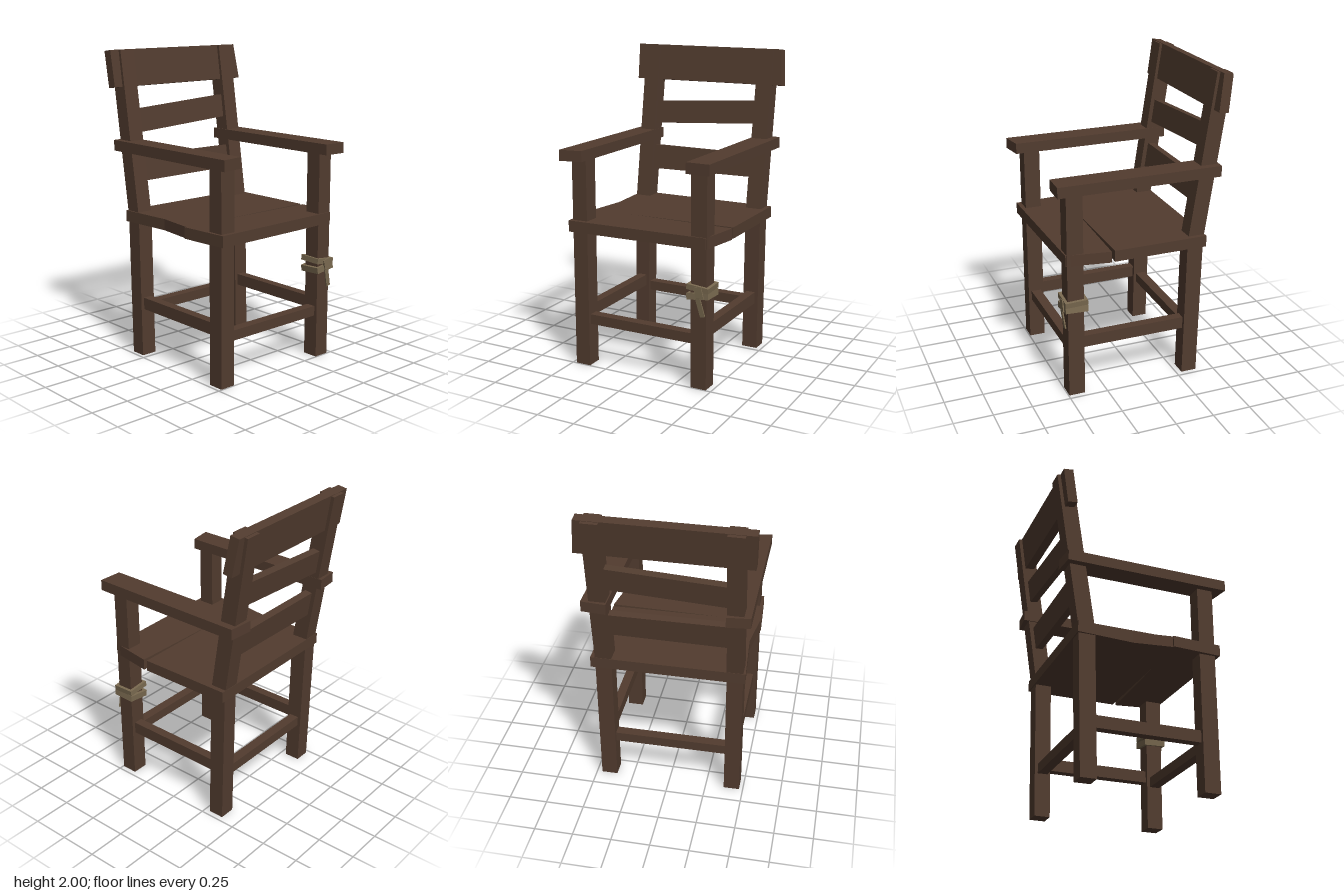
import * as THREE from 'three';

export function createModel() {
  const wood = new THREE.MeshStandardMaterial({ color: 0x523c2f });
  wood.name = 'darkWood';
  const rope = new THREE.MeshStandardMaterial({ color: 0x7a6a50 });
  rope.name = 'ropeTan';

  const model = new THREE.Group();
  model.name = 'armchair';

  const add = (name, geometry, material = wood, parent = model) => {
    const mesh = new THREE.Mesh(geometry, material);
    mesh.name = name;
    parent.add(mesh);
    return mesh;
  };
  const extrude = (points, depth, hole) => {
    const shape = new THREE.Shape(points.map(([a, b]) => new THREE.Vector2(a, b)));
    if (hole) shape.holes.push(new THREE.Path(hole.map(([a, b]) => new THREE.Vector2(a, b))));
    return new THREE.ExtrudeGeometry(shape, { depth, bevelEnabled: false });
  };
  // Box given by its limits
  const box = (name, x0, x1, y0, y1, z0, z1) =>
    add(name, new THREE.BoxGeometry(x1 - x0, y1 - y0, z1 - z0)
      .translate((x0 + x1) / 2, (y0 + y1) / 2, (z0 + z1) / 2));
  // Horizontal board from an [x, z] outline
  const board = (name, outline, y0, y1) =>
    add(name, extrude(outline.map(([x, z]) => [x, -z]), y1 - y0)
      .rotateX(-Math.PI / 2).translate(0, y0, 0));

  // Legs and bent back posts
  const sides = [['right', -0.475, -0.372], ['left', 0.36, 0.465]];
  const postProfile = [[-0.286, 0], [-0.304, 0.93], [-0.467, 2], [-0.57, 1.985], [-0.41, 0.93], [-0.388, 0]];
  for (const [side, x0, x1] of sides) {
    box(side + 'FrontLeg', x0, x1, 0, 1.36, 0.39, 0.495);
    add(side + 'BackPost', extrude(postProfile, x1 - x0).rotateY(-Math.PI / 2).translate(x1, 0, 0));
    const mid = (x0 + x1) / 2;
    box(side + 'Stretcher', mid - 0.03, mid + 0.03, 0.315, 0.393, -0.32, 0.42);
  }
  box('frontStretcher', -0.4, 0.39, 0.28, 0.345, 0.41, 0.475);
  box('backStretcher', -0.4, 0.39, 0.28, 0.345, -0.375, -0.31);

  // Seat planks with a wedge-shaped crack between them
  board('frontSeatPlank',
    [[-0.49, 0.525], [0.46, 0.503], [0.503, 0.221], [-0.235, 0.204], [-0.51, 0.198]], 0.895, 0.967);
  board('backSeatPlank',
    [[-0.5, 0.2], [-0.235, 0.204], [0.5, 0.198], [0.495, -0.418], [-0.49, -0.418], [-0.465, -0.05]], 0.895, 0.967);

  // Armrests
  board('rightArmrest', [[-0.518, 0.57], [-0.37, 0.546], [-0.37, -0.51], [-0.518, -0.497]], 1.355, 1.424);
  board('leftArmrest', [[0.355, 0.555], [0.51, 0.56], [0.512, -0.497], [0.353, -0.51]], 1.355, 1.424);

  // Leaning, uneven back boards
  const slope = 0.1485;
  const backBoard = (name, outline, midY, thickness) => {
    const geometry = extrude(outline.map(([x, y]) => [x, (y - midY) * 1.01]), thickness);
    geometry.translate(0, 0, -thickness / 2).rotateX(-Math.atan(slope));
    add(name, geometry).position.set(0, midY, -0.365 - slope * (midY - 0.97));
  };
  backBoard('lowerSlat', [[-0.4, 1.152], [0.39, 1.16], [0.39, 1.312], [-0.4, 1.316]], 1.235, 0.05);
  backBoard('middleSlat', [[-0.4, 1.463], [0.39, 1.511], [0.39, 1.662], [-0.4, 1.615]], 1.56, 0.05);
  backBoard('topRail', [[-0.535, 1.762], [0.535, 1.765], [0.513, 1.996], [-0.54, 1.996]], 1.88, 0.063);

  // Rope binding on the left front leg
  const binding = new THREE.Group();
  binding.name = 'ropeBinding';
  binding.position.set(0.4125, 0.625, 0.4425);
  model.add(binding);
  const square = (w, d) => [[-w, -d], [w, -d], [w, d], [-w, d]];
  for (const [y, height, tilt, lean] of [[0.027, 0.034, -0.1, 0.03], [-0.025, 0.04, 0.12, -0.04]]) {
    const wrap = add('ropeWrap', extrude(square(0.073, 0.073), height, square(0.054, 0.054))
      .rotateX(-Math.PI / 2).translate(0, -height / 2, 0), rope, binding);
    wrap.position.y = y;
    wrap.rotation.set(lean, 0, tilt);
  }
  const knot = add('ropeKnot', new THREE.BoxGeometry(0.05, 0.075, 0.016), rope, binding);
  knot.position.set(0.012, 0, 0.072);
  knot.rotation.z = 0.25;
  const tail = add('ropeTail', new THREE.BoxGeometry(0.032, 0.125, 0.008), rope, binding);
  tail.position.set(0.02, -0.088, 0.072);
  tail.rotation.set(0.08, 0, 0.25);

  return model;
}
